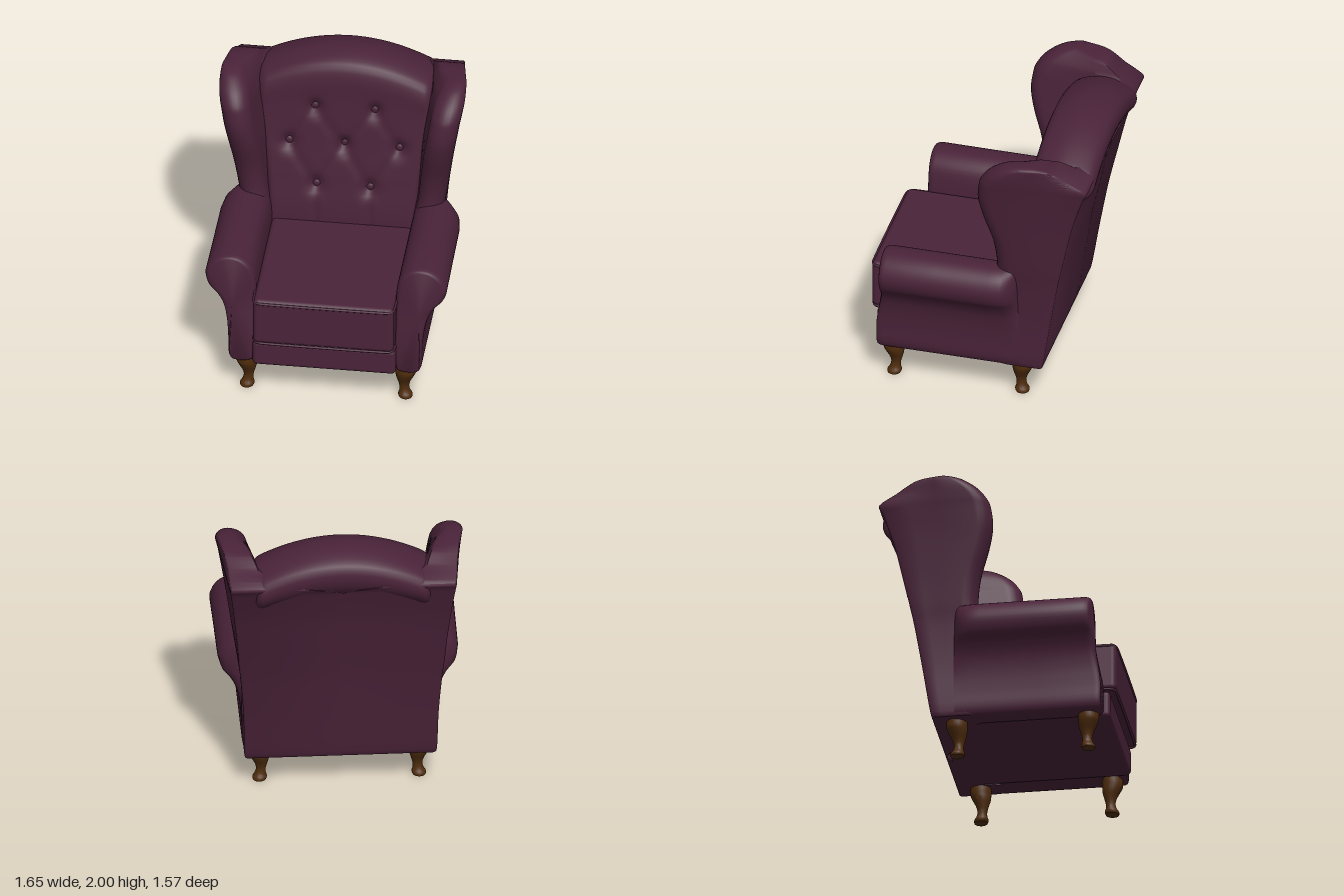
import * as THREE from 'three';
import { toCreasedNormals } from 'three/addons/utils/BufferGeometryUtils.js';
import { RoundedBoxGeometry } from 'three/addons/geometries/RoundedBoxGeometry.js';

const V = (x, y, z) => new THREE.Vector3(x, y, z);
const smooth = THREE.MathUtils.smoothstep;
const lerp = THREE.MathUtils.lerp;

// Skin a list of cross-sections; closed sections also get end caps
function loft(rows, closed, crease = 0.9) {
  const n = rows[0].length, pos = [], idx = [];
  rows.forEach(r => r.forEach(p => pos.push(p.x, p.y, p.z)));
  const last = rows.length - 1;
  for (let i = 0; i < last; i++) {
    for (let j = 0; j < (closed ? n : n - 1); j++) {
      const k = (j + 1) % n;
      const a = i * n + j, b = a + n, c = (i + 1) * n + k, d = i * n + k;
      idx.push(a, b, c, a, c, d);
    }
  }
  if (closed) {
    [0, last].forEach(i => {
      const c = rows[i].reduce((s, p) => s.add(p), V(0, 0, 0)).divideScalar(n);
      const ci = pos.length / 3;
      pos.push(c.x, c.y, c.z);
      for (let j = 0; j < n; j++) {
        const a = i * n + j, b = i * n + (j + 1) % n;
        if (i === 0) idx.push(ci, a, b); else idx.push(ci, b, a);
      }
    });
  }
  const g = new THREE.BufferGeometry();
  g.setAttribute('position', new THREE.Float32BufferAttribute(pos, 3));
  g.setIndex(idx);
  return toCreasedNormals(g, crease);
}

// Mirror sections to the other side, keeping faces outward
const sided = (rows, s) => s > 0 ? rows
  : rows.map(r => r.map(p => V(-p.x, p.y, p.z)).reverse());

// Wing with side and half of the back panel:
// y, front z, back z, inner x, outer x, back outer x, back inner x
function wingRows() {
  const st = [
    [0.25, -0.10, -0.43, 0.47, 0.62, 0.62, 0], [0.29, -0.10, -0.45, 0.47, 0.642, 0.642, 0],
    [0.6, -0.10, -0.50, 0.48, 0.645, 0.65, 0], [0.9, -0.10, -0.55, 0.49, 0.67, 0.67, 0],
    [1.05, -0.13, -0.58, 0.51, 0.695, 0.685, 0], [1.25, -0.11, -0.625, 0.53, 0.725, 0.70, 0],
    [1.45, -0.05, -0.67, 0.555, 0.755, 0.72, 0], [1.6, -0.02, -0.715, 0.58, 0.78, 0.735, 0],
    [1.72, -0.03, -0.755, 0.60, 0.80, 0.75, 0], [1.78, -0.05, -0.775, 0.61, 0.812, 0.755, 0.3],
    [1.85, -0.105, -0.66, 0.63, 0.823, 0.765, 0.56], [1.91, -0.19, -0.56, 0.665, 0.822, 0.78, 0.6],
    [1.935, -0.26, -0.48, 0.69, 0.812, 0.785, 0.65], [1.945, -0.31, -0.42, 0.72, 0.79, 0.77, 0.71]];
  const A = new THREE.CatmullRomCurve3(st.map(s => V(s[0], s[1], s[2])), false, 'catmullrom');
  const B = new THREE.CatmullRomCurve3(st.map(s => V(s[3], s[4], s[5])), false, 'catmullrom');
  const rows = [], N = 52;
  for (let i = 0; i <= N; i++) {
    const t = i / N, a = A.getPoint(t), b = B.getPoint(t);
    const f = t * (st.length - 1), k = Math.min(Math.floor(f), st.length - 2);
    const xib = lerp(st[k][6], st[k + 1][6], f - k);
    const y = a.x, zf = a.y, zb = a.z, xi = b.x, xo = b.y, xob = b.z;
    const span = zf - zb, d = Math.min(0.11, span * 0.4), r = (xo - xi) / 2;
    const ring = [V(xob - 0.012, y, zb), V(xob, y, zb + 0.015 * Math.min(1, span * 2))];
    [0.3, 0.6].forEach(q => ring.push(V(lerp(xob, xo, q), y, lerp(zb, zf - d, q))));
    for (let j = 0; j <= 12; j++) {
      const an = Math.PI * j / 12;
      ring.push(V((xi + xo) / 2 + r * Math.cos(an), y, zf - d + d * Math.sin(an)));
    }
    ring.push(V(Math.max(xi - 0.05, xib), y, lerp(zf - d, zb, 0.6)), V(xib, y, zb));
    rows.push(ring);
  }
  return rows;
}

// Rolled arm: outline swept along z, roll fading into the side at the rear
function armRows() {
  const outline = new THREE.CatmullRomCurve3([
    [0.475, 0.27], [0.47, 0.6], [0.475, 0.88], [0.51, 0.98], [0.59, 1.035], [0.69, 1.035],
    [0.77, 0.985], [0.81, 0.9], [0.79, 0.81], [0.735, 0.745], [0.69, 0.67], [0.662, 0.56],
    [0.65, 0.42], [0.645, 0.29], [0.62, 0.25], [0.5, 0.25]].map(p => V(p[0], p[1], 0)), true)
    .getPoints(64).slice(0, -1);
  // position along the arm, inset towards the middle, strength of the roll
  const st = [[-0.29, 0, 0], [-0.27, 0, 0.3], [-0.24, 0, 0.65], [-0.19, 0, 0.88], [-0.1, 0, 0.95],
    [0.25, 0, 0.97], [0.6, 0, 1], [0.625, 0.04, 1], [0.637, 0.1, 1], [0.643, 0.2, 1]];
  return st.map(([z, inset, roll]) => outline.map(p => {
    const x = p.x > 0.65 ? 0.65 + (p.x - 0.65) * roll : p.x;
    const fwd = z > 0 ? 0.052 * smooth(-p.y, -0.78, -0.4) * z / 0.643 : 0;
    return V(lerp(x, 0.58 + 0.06 * smooth(p.y, 0.6, 0.9), inset),
      lerp(p.y, 0.65, inset * 0.25), z + fwd);
  }));
}

// Tufted back: side profile repeated across x, with dimples and folds
const buttons = [[-0.2, 1.62], [0.2, 1.62], [-0.37, 1.35], [0, 1.35], [0.37, 1.35],
  [-0.18, 1.05], [0.18, 1.05]];
const folds = [[0, 2], [0, 3], [1, 3], [1, 4], [2, 5], [3, 5], [3, 6], [4, 6]];
function tuft(x, y) {
  let d = 0;
  buttons.forEach(([bx, by]) => {
    d += 0.035 * Math.exp(-((x - bx) ** 2 + (y - by) ** 2) / 0.0035);
  });
  folds.forEach(([i, j]) => {
    const [ax, ay] = buttons[i], dx = buttons[j][0] - ax, dy = buttons[j][1] - ay;
    const t = THREE.MathUtils.clamp(((x - ax) * dx + (y - ay) * dy) / (dx * dx + dy * dy), 0, 1);
    d += 0.009 * Math.exp(-((x - ax - t * dx) ** 2 + (y - ay - t * dy) ** 2) / 0.0012);
  });
  // short pleats running down to the seat
  [-0.18, 0.18].forEach(px => {
    d += 0.012 * Math.exp(-((x - px) ** 2) / 0.0008) * smooth(-y, -1.02, -0.88);
  });
  return d;
}
function backRows() {
  const prof = new THREE.CatmullRomCurve3([[-0.2, 0.6], [-0.21, 0.85], [-0.25, 1.1], [-0.30, 1.4],
    [-0.335, 1.7], [-0.345, 1.85], [-0.38, 1.945], [-0.46, 1.985], [-0.56, 2.0], [-0.68, 1.975],
    [-0.765, 1.925], [-0.785, 1.85], [-0.765, 1.765], [-0.70, 1.66], [-0.58, 1.2], [-0.43, 0.4]]
    .map(p => V(0, p[1], p[0]))).getSpacedPoints(110);
  const rows = [], N = 84;
  for (let i = 0; i <= N; i++) {
    const u = i / N * 2 - 1;
    const t = Math.max(0, (Math.abs(u) - 0.86) / 0.14);
    const k = Math.max(0.05, Math.sqrt(1 - t * t));
    rows.push(prof.map((p, j) => {
      const x = u * lerp(0.53, 0.62, smooth(p.y, 0.8, 1.8));
      const y = p.y - (0.48 * x * x + 0.03 * (1 - k)) * smooth(p.y, 1.2, 2.0);
      const mid = -0.3 - 0.13 * p.y;
      let z = mid + (p.z - mid) * k;
      if (j < 62 && p.z > -0.4) z -= tuft(x, y) * smooth(-p.y, -1.93, -1.75);
      return V(x, y, z);
    }));
  }
  return rows;
}

// Piping: thin cord around a rounded rectangle
function piping(y, hw, z0, z1, r) {
  const pts = [];
  [[hw - r, z1 - r, 0], [-hw + r, z1 - r, 1], [-hw + r, z0 + r, 2], [hw - r, z0 + r, 3]]
    .forEach(([cx, cz, q]) => {
      for (let j = 0; j <= 5; j++) {
        const a = (q + j / 5) * Math.PI / 2;
        pts.push(V(cx + r * Math.cos(a), y, cz + r * Math.sin(a)));
      }
    });
  return new THREE.TubeGeometry(new THREE.CatmullRomCurve3(pts, true, 'centripetal'), 160, 0.009, 8, true);
}

export function createModel() {
  const group = new THREE.Group();
  const fabric = new THREE.MeshStandardMaterial({ color: 0x4a2339 });
  fabric.name = 'plum upholstery';
  const wood = new THREE.MeshStandardMaterial({ color: 0x502d0d });
  wood.name = 'dark wood';
  const add = (name, geo, mat, x = 0, y = 0, z = 0) => {
    const m = new THREE.Mesh(geo, mat);
    m.name = name;
    m.position.set(x, y, z);
    group.add(m);
    return m;
  };

  // Seat base and cushion
  add('seatBase', new RoundedBoxGeometry(0.96, 0.19, 1.15, 4, 0.03), fabric, 0, 0.345, 0.16);
  add('seatCushion', new RoundedBoxGeometry(0.945, 0.345, 1.0, 5, 0.035), fabric, 0, 0.625, 0.275);
  add('upperPiping', piping(0.775, 0.472, -0.22, 0.773, 0.05), fabric);
  add('lowerPiping', piping(0.455, 0.472, -0.22, 0.768, 0.05), fabric);

  // Wings and arms
  [1, -1].forEach(s => {
    const side = s > 0 ? 'left' : 'right';
    add(side + 'Wing', loft(sided(wingRows(), s), true), fabric);
    add(side + 'Arm', loft(sided(armRows(), s), true), fabric);
  });

  // Backrest, with a button seated in each dimple
  const rows = backRows();
  add('backrest', loft(rows, false, 1.2), fabric);
  buttons.forEach(([x, y]) => {
    let best = null, bd = 9;
    rows.forEach(r => r.forEach(p => {
      const d = Math.hypot(p.x - x, p.y - y);
      if (p.z > -0.42 && d < bd) { bd = d; best = p; }
    }));
    const b = add('button', new THREE.SphereGeometry(0.028, 18, 12), fabric, x, y, best.z + 0.006);
    b.scale.z = 0.6;
  });

  // Curved legs
  const legProfile = new THREE.SplineCurve([[0.044, 0], [0.048, 0.018], [0.036, 0.045], [0.033, 0.08],
    [0.043, 0.12], [0.06, 0.165], [0.07, 0.21], [0.068, 0.27]]
    .map(p => new THREE.Vector2(p[0], p[1]))).getPoints(28);
  [[1, 0.6], [-1, 0.6], [1, -0.285], [-1, -0.285]].forEach(([s, z]) => {
    const g = new THREE.LatheGeometry([new THREE.Vector2(0, 0), ...legProfile], 24);
    const p = g.attributes.position;
    for (let i = 0; i < p.count; i++) {
      const bend = -0.012 * Math.sin(Math.PI * Math.min(1, p.getY(i) / 0.2));
      p.setX(i, p.getX(i) + s * bend);
      p.setZ(i, p.getZ(i) + Math.sign(z) * bend);
    }
    add(z > 0 ? 'frontLeg' : 'backLeg', toCreasedNormals(g, 0.8), wood, s * 0.533, 0, z);
  });
  return group;
}
